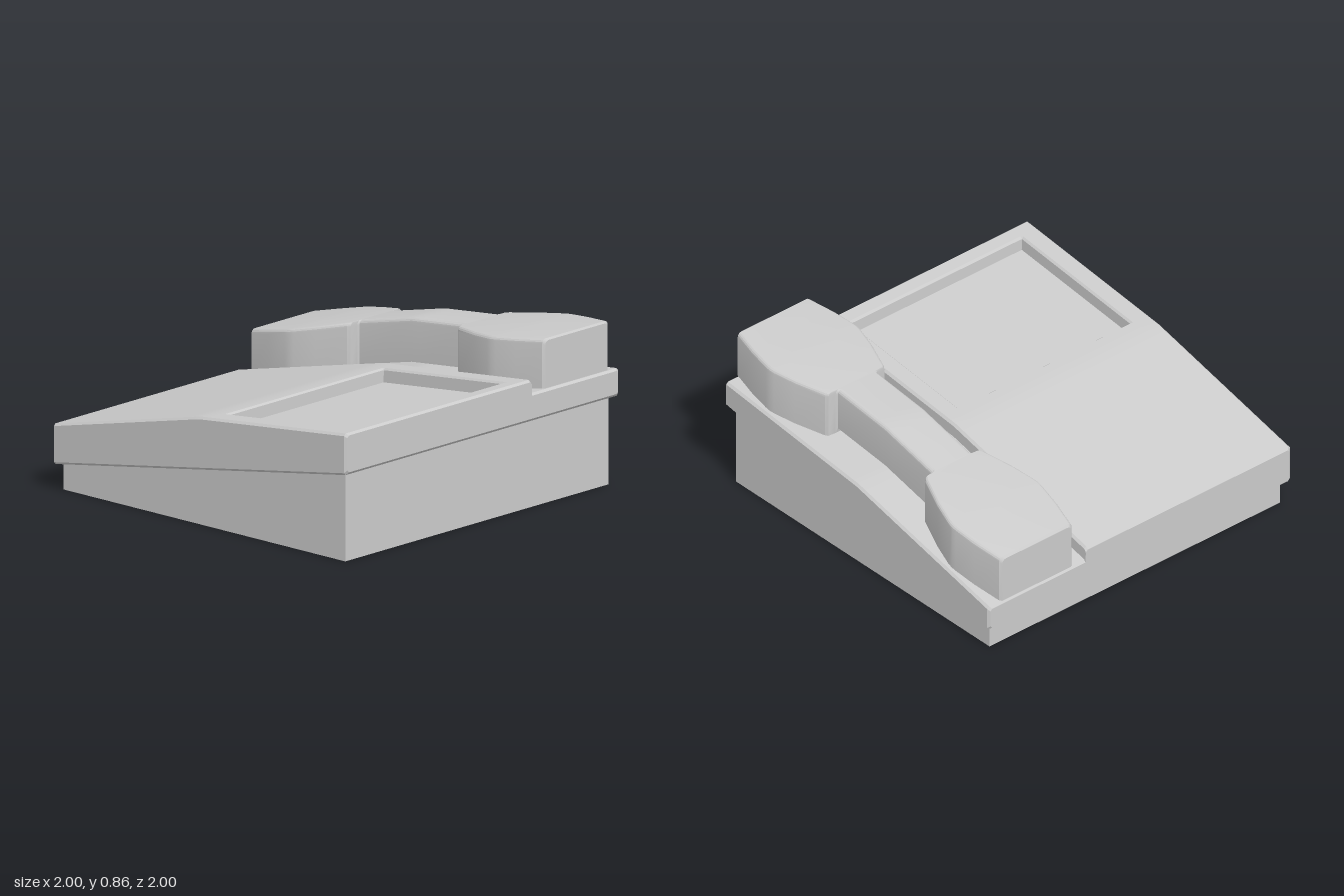
import * as THREE from 'three';
import { toCreasedNormals } from 'three/addons/utils/BufferGeometryUtils.js';

const grey = new THREE.MeshStandardMaterial({ color: 0xcccccc });
const greyOpen = new THREE.MeshStandardMaterial({ color: 0xcccccc, side: THREE.DoubleSide });

// Heights of the sloping body along x
const topY = x => 0.57 + x * (x < 0 ? 0.23 : 0.105);
const underY = x => 0.295 + 0.165 * x;
const STEP = 0.072;

// Closed solid through sections { x, ring: [[z, y], ...] }, rings counter-clockwise seen from +x
function loft(sections) {
  const n = sections[0].ring.length;
  const pos = [], index = [];
  for (const { x, ring } of sections) for (const [z, y] of ring) pos.push(x, y, z);
  for (let i = 0; i < sections.length - 1; i++) {
    for (let j = 0; j < n; j++) {
      const a = i * n + j, b = i * n + (j + 1) % n;
      index.push(a, b, a + n, b, b + n, a + n);
    }
  }
  for (const end of [0, sections.length - 1]) {
    const outline = sections[end].ring.map(([z, y]) => new THREE.Vector2(-z, y));
    for (const [a, b, c] of THREE.ShapeUtils.triangulateShape(outline, [])) {
      const o = end * n;
      if (end) index.push(o + a, o + b, o + c);
      else index.push(o + a, o + c, o + b);
    }
  }
  const geo = new THREE.BufferGeometry();
  geo.setAttribute('position', new THREE.Float32BufferAttribute(pos, 3));
  geo.setIndex(index);
  return toCreasedNormals(geo.toNonIndexed(), 0.3);
}

// Body section: low cradle shelf at the back, step, panel with a pocket sunk by dip
function bodySection(x, inset = 0, dip = 0) {
  const t = topY(x) - inset, u = underY(x) + inset, e = 1 - inset, r = 0.012;
  const s = t - STEP, lip = Math.min(dip, 0.01);
  return { x, ring: [
    [e - r, u], [-e + r, u], [-e, u + r],
    [-e, s - r], [-e + r, s],
    [-0.36, s], [-0.358, t - r], [-0.346, t],
    [-0.26, t], [-0.25, t - lip], [-0.247, t - dip],
    [0.882, t - dip], [0.885, t - lip], [0.895, t],
    [e - r, t], [e, t - r], [e, u + r],
  ] };
}

// Handset section: half width w, rounded top edges, underside lifted above the shelf
function handsetSection(x, w, lift, inset = 0) {
  const t = topY(x) + 0.19 - inset, u = topY(x) - STEP + lift, h = w - inset, r = 0.024, c = -0.683;
  const ring = [[c + h, u], [c - h, u]];
  for (let i = 0; i <= 4; i++) {
    const a = i * Math.PI / 8;
    ring.push([c - h + r * (1 - Math.cos(a)), t - r * (1 - Math.sin(a))]);
  }
  for (let i = 4; i >= 0; i--) {
    const a = i * Math.PI / 8;
    ring.push([c + h - r * (1 - Math.cos(a)), t - r * (1 - Math.sin(a))]);
  }
  return { x, ring };
}

export function createModel() {
  const model = new THREE.Group();
  const add = (name, geo, mat = grey) => {
    const mesh = new THREE.Mesh(geo, mat);
    mesh.name = name;
    model.add(mesh);
  };

  // Open-bottomed wedge base
  const base = new THREE.CylinderGeometry(0.96 * Math.SQRT2, 0.96 * Math.SQRT2, 1, 4, 1, true)
    .rotateY(Math.PI / 4).toNonIndexed();
  const p = base.attributes.position;
  for (let i = 0; i < p.count; i++) p.setY(i, p.getY(i) > 0 ? underY(p.getX(i)) : 0);
  base.computeVertexNormals();
  add('base', base, greyOpen);

  // Sloping top body with cradle shelf and recessed panel
  add('body', loft([
    bodySection(-1, 0.012), bodySection(-0.988),
    bodySection(-0.06), bodySection(0), bodySection(0.06),
    bodySection(0.08), bodySection(0.09, 0, 0.01), bodySection(0.093, 0, STEP),
    bodySection(0.907, 0, STEP), bodySection(0.91, 0, 0.01), bodySection(0.92),
    bodySection(0.988), bodySection(1, 0.012),
  ]));

  // Handset: one half as [x, half width, lift, inset], mirrored about x = 0
  const half = [
    [1, 0.237, 0.006, 0.01], [0.99, 0.239, 0.006], [0.84, 0.273, 0.006], [0.72, 0.29, 0.006],
    [0.69, 0.292, 0.006], [0.66, 0.288, 0.006], [0.54, 0.256, 0.006], [0.38, 0.196, 0.006],
    [0.366, 0.185, 0.006], [0.362, 0.14, 0.006], [0.355, 0.131, 0.035], [0.06, 0.131, 0.035],
  ];
  const stations = [
    ...half.map(([x, ...rest]) => [-x, ...rest]), [0, 0.131, 0.035], ...half.slice().reverse(),
  ];
  add('handset', loft(stations.map(s => handsetSection(...s))));

  return model;
}
